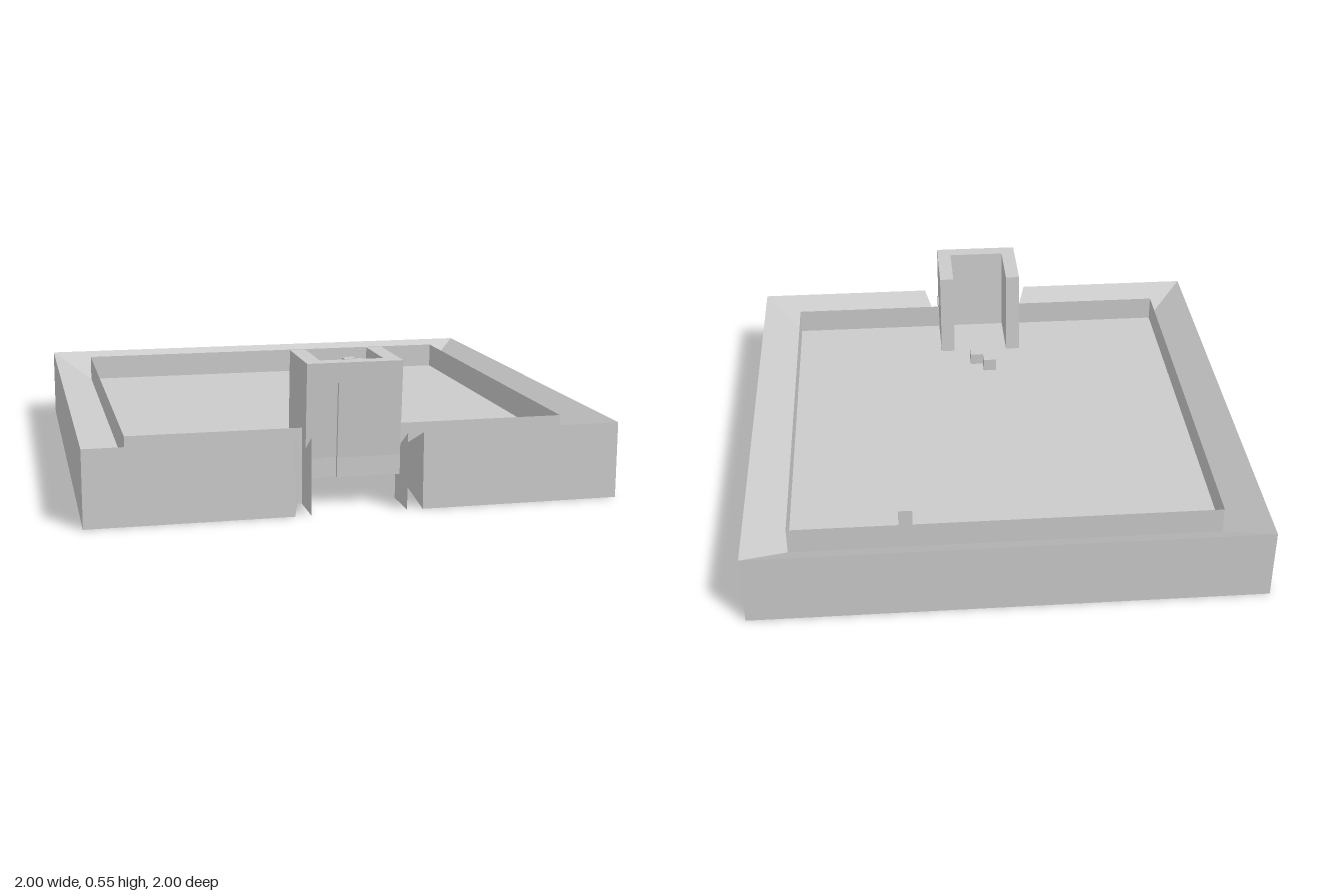
import * as THREE from 'three';

const material = new THREE.MeshStandardMaterial({
  color: 0xcccccc, side: THREE.DoubleSide, flatShading: true,
});

function part(name, geometry) {
  const mesh = new THREE.Mesh(geometry, material);
  mesh.name = name;
  return mesh;
}

// Joins matching cross-sections with flat quads
function loft(sections, closed, caps) {
  const pos = [];
  const quad = (a, b, c, d) => pos.push(...a, ...b, ...c, ...a, ...c, ...d);
  const n = sections[0].length;
  for (let s = 0; s < sections.length - 1; s++) {
    const p = sections[s], q = sections[s + 1];
    for (let k = 0; k < (closed ? n : n - 1); k++) {
      const j = (k + 1) % n;
      quad(p[k], q[k], q[j], p[j]);
    }
  }
  if (caps) {
    quad(...sections[0]);
    quad(...[...sections[sections.length - 1]].reverse());
  }
  const g = new THREE.BufferGeometry();
  g.setAttribute('position', new THREE.Float32BufferAttribute(pos, 3));
  g.computeVertexNormals();
  return g;
}

// Extrudes a plan outline of [x, z] points from y0 up to y1
function slab(points, y0, y1) {
  const shape = new THREE.Shape(points.map(([x, z]) => new THREE.Vector2(x, -z)));
  return new THREE.ExtrudeGeometry(shape, { depth: y1 - y0, bevelEnabled: false })
    .rotateX(-Math.PI / 2).translate(0, y0, 0);
}

const INNER = 0.835, GAP = 0.18, GAP_OUT = 0.24;
const TOP = 0.29, FLOOR = 0.185, UNDER = 0.11, LEAN = 0.078;

// Plan path round the yard, starting and ending at the gateway
const path = (r, gap) => [[gap, r], [r, r], [r, -r], [-r, -r], [-r, r], [-gap, r]];

// Front edge with the shallow groove, from left to right
const frontEdge = (z) => [
  [-GAP, z], [-0.12, z], [-0.12, z - 0.015], [-0.06, z - 0.015], [-0.06, z], [GAP, z],
];

// Leans the gatehouse forward as it rises
function lean(g) {
  const p = g.attributes.position;
  for (let i = 0; i < p.count; i++) p.setZ(i, p.getZ(i) + (p.getY(i) - FLOOR) * LEAN);
  g.computeVertexNormals();
  return g;
}

export function createModel() {
  const model = new THREE.Group();

  // Surrounding rim: tall outside, narrowing towards the yard
  const outer = path(1, GAP_OUT), inner = path(INNER, GAP);
  model.add(part('outerRim', loft(outer.map(([x, z], i) => {
    const [u, w] = inner[i];
    return [[x, 0, z], [x, TOP, z], [u, FLOOR, w], [u, UNDER, w]];
  }), true, true)));

  // Thin wall standing around the floor
  model.add(part('innerWall', loft(inner.map(([x, z]) => [[x, 0, z], [x, TOP, z]]), false, false)));

  // Floor with its doorstep in the gateway
  model.add(part('floor', slab([
    [-INNER, -INNER], [-INNER, INNER], [-GAP, INNER], ...frontEdge(0.897),
    [GAP, INNER], [INNER, INNER], [INNER, -INNER],
  ], UNDER, FLOOR)));

  // Thin cheeks on both sides of the gateway
  for (const side of [-1, 1]) {
    const x = side * GAP;
    model.add(part('gatewayCheek', loft([
      [[x, 0, INNER], [x, FLOOR, INNER]],
      [[x, 0, 1], [x, TOP, 1]],
    ], false, false)));
  }

  // Gatehouse: leaning U of three walls, open to the yard
  const gatehouse = new THREE.Group();
  gatehouse.name = 'gatehouse';
  const back = 0.597, t = 0.06;
  const insideEdge = [
    [GAP, back], [GAP - t, back], [GAP - t, 0.837], [t - GAP, 0.837], [t - GAP, back], [-GAP, back],
  ];
  gatehouse.add(part('groovedWalls', lean(slab([...frontEdge(0.897), ...insideEdge], FLOOR, 0.47))));
  gatehouse.add(part('upperWalls', lean(slab([[-GAP, 0.897], [GAP, 0.897], ...insideEdge], 0.47, 0.545))));
  model.add(gatehouse);

  // Small blocks on the floor: x, z, height
  for (const [x, z, h] of [
    [0.385, -0.69, 0.08], [0.445, -0.75, 0.06], [0.5, -0.75, 0.045],
    [-0.03, 0.44, 0.055], [0.025, 0.5, 0.05],
  ]) {
    const block = part('block', new THREE.BoxGeometry(0.055, h, 0.055));
    block.position.set(x, FLOOR + h / 2, z);
    model.add(block);
  }
  return model;
}
